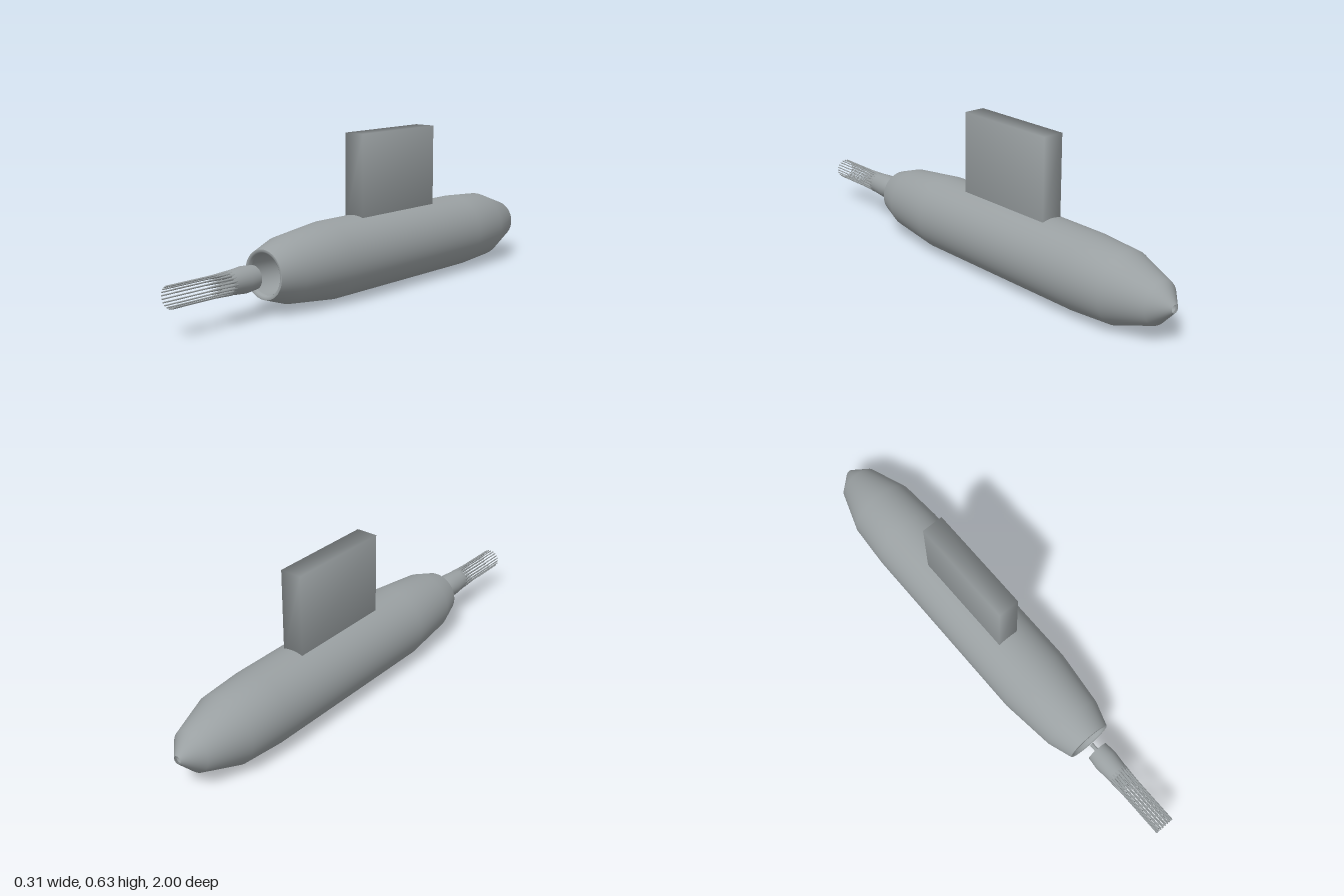
import * as THREE from 'three';
import { mergeVertices } from 'three/addons/utils/BufferGeometryUtils.js';

const AXIS_Y = 0.155;

export function createModel() {
  const group = new THREE.Group();
  const grey = new THREE.MeshStandardMaterial({ color: 0x9aa0a2, side: THREE.DoubleSide });
  grey.name = 'plain grey';

  const add = (name, geometry, parent = group) => {
    const mesh = new THREE.Mesh(geometry, grey);
    mesh.name = name;
    parent.add(mesh);
    return mesh;
  };

  // Surface of revolution about the z axis, from [radius, z] pairs
  const turned = (profile, sides = 48) =>
    new THREE.LatheGeometry(profile.map(([r, z]) => new THREE.Vector2(r, z)), sides)
      .rotateX(Math.PI / 2).translate(0, AXIS_Y, 0);

  // Hull, open at both ends
  add('hull', turned([
    [0.016, -1], [0.083, -0.935], [0.14, -0.77], [0.152, -0.59],
    [0.153, 0.23], [0.127, 0.46], [0.094, 0.56],
  ], 64));

  // Rounded mouth and the duct narrowing to the rear opening
  add('mouthRim', turned([[0.094, 0.56], [0.087, 0.561], [0.081, 0.556], [0.078, 0.545]], 64));
  add('innerDuct', turned([[0.078, 0.545], [0.074, 0.45], [0.016, -0.99]]));

  // Upright fin with softened shading
  const finBox = new THREE.BoxGeometry(0.09, 0.36, 0.45);
  finBox.deleteAttribute('normal');
  finBox.deleteAttribute('uv');
  const finGeometry = mergeVertices(finBox);
  finGeometry.computeVertexNormals();
  add('fin', finGeometry).position.set(0, 0.45, -0.165);

  // Thin stub and hollow collar ahead of the mouth
  add('stub', turned([[0.008, 0.575], [0.008, 0.62]], 16));
  add('collarBack', turned([[0.016, 0.61], [0.045, 0.61]], 32));
  add('collar', turned([[0.045, 0.61], [0.05, 0.66], [0.043, 0.74]], 32));
  add('collarFace', turned([[0.043, 0.74], [0.03, 0.735]], 32));
  add('collarBore', turned([[0.03, 0.735], [0.016, 0.61]], 32));

  // Cage of thin rods with tapered roots
  const cage = new THREE.Group();
  cage.name = 'rodCage';
  cage.position.y = AXIS_Y;
  group.add(cage);
  const rod = new THREE.CylinderGeometry(0.0026, 0.0026, 0.28, 6).rotateX(Math.PI / 2);
  const root = new THREE.CylinderGeometry(0.0026, 0.0065, 0.08, 6).rotateX(Math.PI / 2);
  const count = 20;
  for (let i = 0; i < count; i++) {
    const a = (i / count) * Math.PI * 2;
    const x = Math.cos(a) * 0.039, y = Math.sin(a) * 0.039;
    add('rod', rod, cage).position.set(x, y, 0.86);
    add('rodRoot', root, cage).position.set(x, y, 0.765);
  }
  return group;
}
